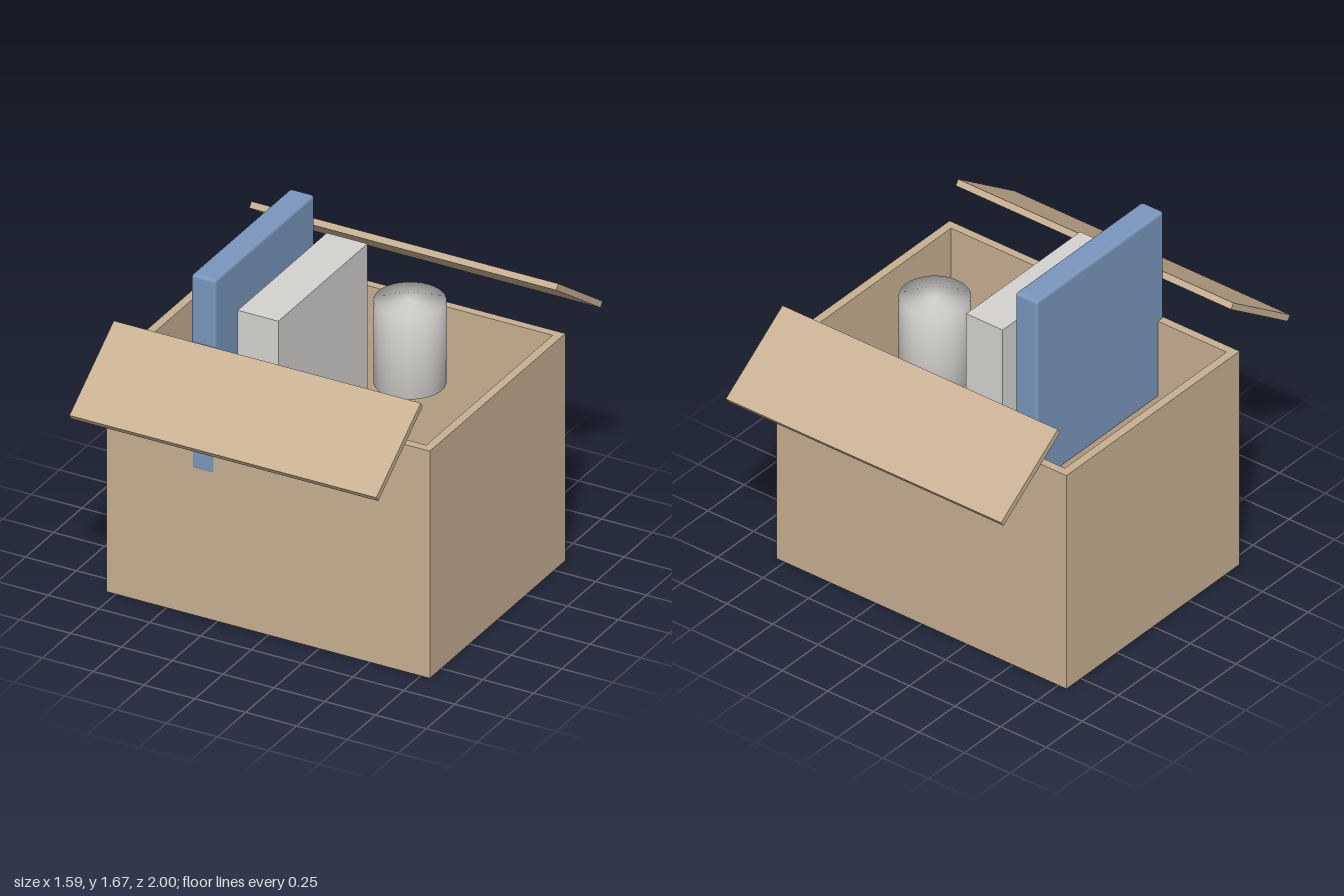
import * as THREE from 'three';
import { mergeVertices } from 'three/addons/utils/BufferGeometryUtils.js';
import { RoundedBoxGeometry } from 'three/addons/geometries/RoundedBoxGeometry.js';

const material = (name, color) => {
  const m = new THREE.MeshStandardMaterial({ color });
  m.name = name;
  return m;
};

export function createModel() {
  const group = new THREE.Group();
  const cardboard = material('cardboard', 0xc8b092);
  const blue = material('blue', 0x7a97be);
  const grey = material('lightGrey', 0xd4d3d0);

  const add = (name, geometry, mat, x, y, z) => {
    const mesh = new THREE.Mesh(geometry, mat);
    mesh.name = name;
    mesh.position.set(x, y, z);
    group.add(mesh);
    return mesh;
  };

  // Carton walls: a rectangular ring extruded upwards
  const rect = (path, w, d) => {
    path.moveTo(-w, -d);
    path.lineTo(w, -d);
    path.lineTo(w, d);
    path.lineTo(-w, d);
    path.closePath();
    return path;
  };
  const ring = rect(new THREE.Shape(), 0.795, 0.6);
  ring.holes.push(rect(new THREE.Path(), 0.755, 0.56));
  const walls = new THREE.ExtrudeGeometry(ring, { depth: 1.115, bevelEnabled: false });
  walls.rotateX(-Math.PI / 2);
  add('cartonWalls', walls, cardboard, 0, 0, 0);
  add('cartonFloor', new THREE.BoxGeometry(1.51, 0.04, 1.12), cardboard, 0, 0.02, 0);

  // Open flaps slope down and away at the front and back
  for (const side of [1, -1]) {
    const flap = add(side > 0 ? 'frontFlap' : 'backFlap',
      new THREE.BoxGeometry(1.51, 0.03, 0.48), cardboard, 0, 1.195, side * 0.797);
    flap.rotation.x = side * THREE.MathUtils.degToRad(35);
  }

  // Contents: tall rounded slab, whose end just pokes through the front wall
  add('blueBook', new RoundedBoxGeometry(0.12, 0.955, 0.881, 3, 0.015), blue, -0.32, 1.1925, 0.1605);
  add('greyBook', new THREE.BoxGeometry(0.2, 0.725, 0.79), grey, -0.12, 1.1125, 0.08);

  // Cup with normals smoothed over its rims
  let cup = new THREE.CylinderGeometry(0.157, 0.157, 0.405, 32);
  cup.deleteAttribute('normal');
  cup.deleteAttribute('uv');
  cup = mergeVertices(cup);
  cup.computeVertexNormals();
  add('cup', cup, grey, 0.275, 1.1525, -0.16);

  return group;
}
